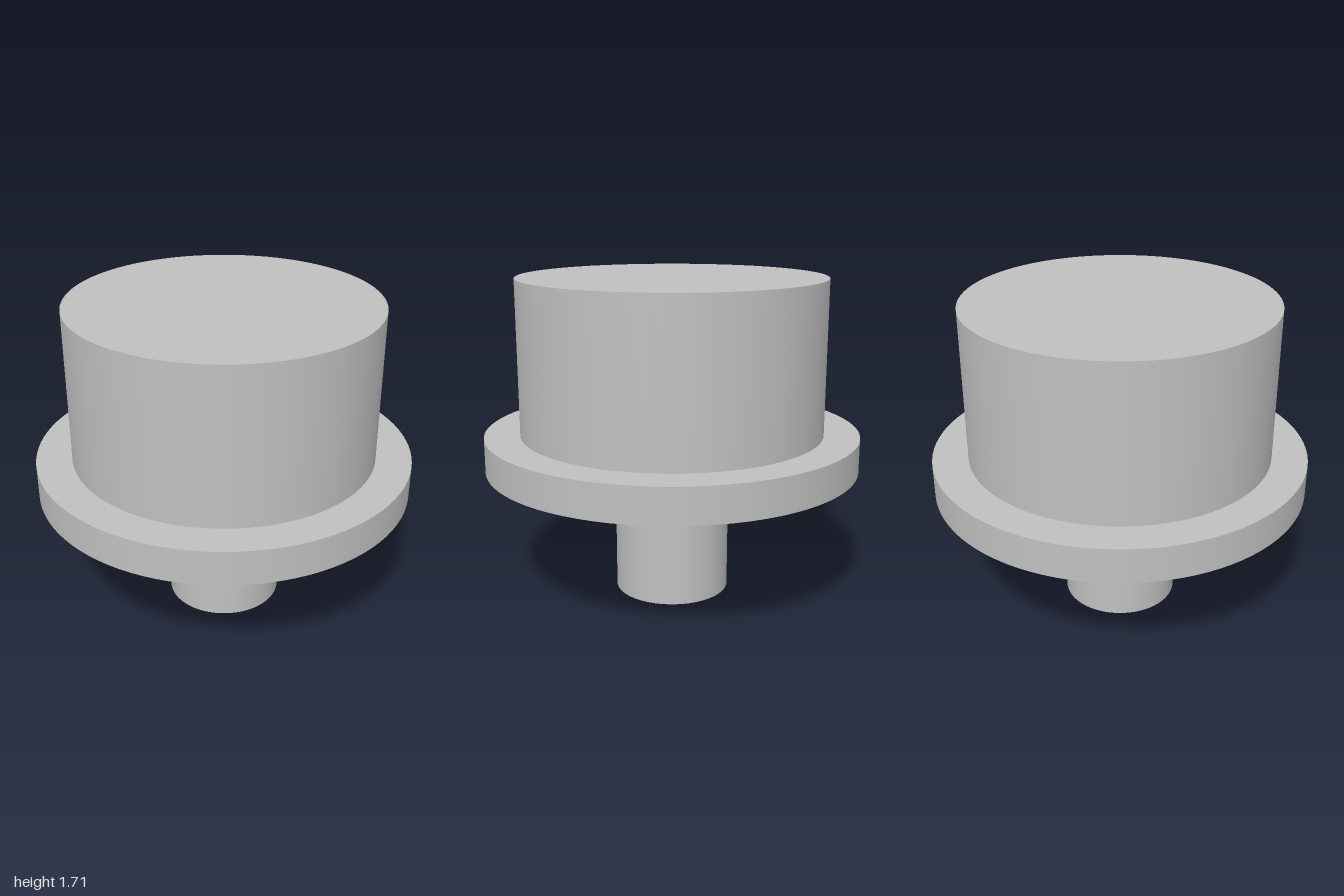
import * as THREE from 'three';

export function createModel() {
  const model = new THREE.Group();
  const grey = new THREE.MeshStandardMaterial({ color: 0xc0c0c0 });
  grey.name = 'plain grey';

  // Upright disc between two heights
  function addCylinder(name, radius, bottom, top) {
    const geometry = new THREE.CylinderGeometry(radius, radius, top - bottom, 96);
    const mesh = new THREE.Mesh(geometry, grey);
    mesh.name = name;
    mesh.position.y = (bottom + top) / 2;
    model.add(mesh);
  }

  addCylinder('stem', 0.308, 0, 0.703);
  addCylinder('flange', 1, 0.703, 0.887);
  addCylinder('head', 0.811, 0.887, 1.708);

  return model;
}
